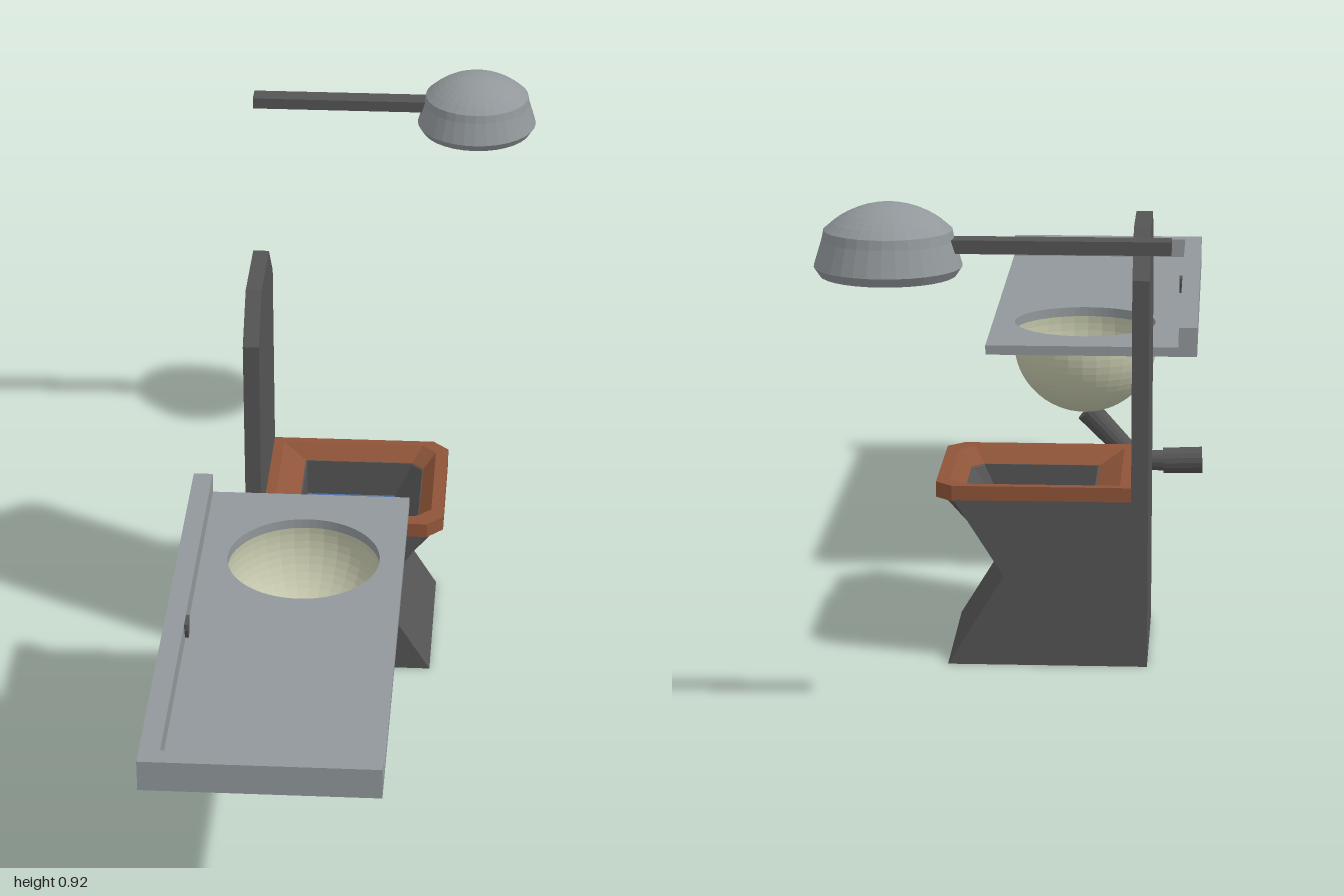
import * as THREE from 'three';

const mat = (name, color, extra = {}) => {
  const m = new THREE.MeshStandardMaterial({ color, flatShading: true, ...extra });
  m.name = name;
  return m;
};

// Six-cornered ring: rectangle whose two +x corners are cut by c
const ring = (y, x0, x1, z0, z1, c = 0) => [
  [x0, y, z1], [x1 - c, y, z1], [x1, y, z1 - c],
  [x1, y, z0 + c], [x1 - c, y, z0], [x0, y, z0],
];

// Skin through rings, optionally closing the first and last one
function loft(rings, capStart, capEnd) {
  const p = [];
  const n = rings[0].length;
  for (let r = 0; r < rings.length - 1; r++) {
    for (let i = 0; i < n; i++) {
      const j = (i + 1) % n;
      const [a, b, c, d] = [rings[r][i], rings[r][j], rings[r + 1][j], rings[r + 1][i]];
      p.push(...a, ...b, ...c, ...a, ...c, ...d);
    }
  }
  const first = rings[0], last = rings[rings.length - 1];
  for (let i = 1; i < n - 1; i++) {
    if (capStart) p.push(...first[0], ...first[i + 1], ...first[i]);
    if (capEnd) p.push(...last[0], ...last[i], ...last[i + 1]);
  }
  const g = new THREE.BufferGeometry();
  g.setAttribute('position', new THREE.Float32BufferAttribute(p, 3));
  g.computeVertexNormals();
  return g;
}

export function createModel() {
  const root = new THREE.Group();
  const steel = mat('lightGrey', 0x91979a);
  const dark = mat('darkGrey', 0x555555);
  const brown = mat('brownWood', 0x8f5539);
  const cream = mat('creamBasin', 0xc5c8ac, { side: THREE.DoubleSide });
  const blue = mat('waterBlue', 0x4d6ea6);

  const add = (parent, name, geo, material, x = 0, y = 0, z = 0) => {
    const m = new THREE.Mesh(geo, material);
    m.name = name;
    m.position.set(x, y, z);
    parent.add(m);
    return m;
  };
  // Box given by its extents
  const box = (parent, name, material, x0, x1, y0, y1, z0, z1) =>
    add(parent, name, new THREE.BoxGeometry(x1 - x0, y1 - y0, z1 - z0), material,
      (x0 + x1) / 2, (y0 + y1) / 2, (z0 + z1) / 2);
  // Round bar between two points
  const bar = (parent, name, material, a, b, ra, rb) => {
    const from = new THREE.Vector3(...a), to = new THREE.Vector3(...b);
    const dir = to.clone().sub(from);
    const m = add(parent, name, new THREE.CylinderGeometry(rb, ra, dir.length(), 16), material);
    m.position.copy(from).add(to).multiplyScalar(0.5);
    m.quaternion.setFromUnitVectors(new THREE.Vector3(0, 1, 0), dir.normalize());
    return m;
  };
  const group = (name) => {
    const g = new THREE.Group();
    g.name = name;
    root.add(g);
    return g;
  };

  // --- Washstand: slab with a round cut-out and two raised edges
  const sink = group('washstand');
  const bx = -0.08, bz = 0.29;
  const slab = new THREE.Shape([
    new THREE.Vector2(-0.3, -1), new THREE.Vector2(0.1, -1),
    new THREE.Vector2(0.1, -0.063), new THREE.Vector2(-0.3, -0.063),
  ]);
  const hole = new THREE.Path();
  hole.absarc(bx, -bz, 0.137, 0, Math.PI * 2, true);
  slab.holes.push(hole);
  const slabGeo = new THREE.ExtrudeGeometry(slab, { depth: 0.018, bevelEnabled: false, curveSegments: 32 });
  slabGeo.rotateX(-Math.PI / 2);
  add(sink, 'counterSlab', slabGeo, steel, 0, 0.46, 0);
  box(sink, 'counterBackEdge', steel, -0.3, -0.265, 0.478, 0.516, 0.063, 1);
  box(sink, 'counterEndEdge', steel, -0.265, 0.1, 0.478, 0.516, 0.965, 1);

  // Small tapered spout plate on the back edge
  const spout = new THREE.Shape([
    new THREE.Vector2(-0.007, 0), new THREE.Vector2(0.007, 0),
    new THREE.Vector2(0.016, 0.02), new THREE.Vector2(0.016, 0.032), new THREE.Vector2(-0.016, 0.032),
    new THREE.Vector2(-0.016, 0.02),
  ]);
  const spoutGeo = new THREE.ExtrudeGeometry(spout, { depth: 0.006, bevelEnabled: false });
  spoutGeo.rotateY(Math.PI / 2);
  add(sink, 'spoutPlate', spoutGeo, dark, -0.265, 0.482, 0.565);

  // Basin and drain
  add(sink, 'basin', new THREE.SphereGeometry(0.14, 32, 16, 0, Math.PI * 2, Math.PI * 0.455, Math.PI * 0.545),
    cream, bx, 0.441, bz);
  const elbow = [-0.18, 0.2, bz + 0.005];
  bar(sink, 'drainPipe', dark, [-0.085, 0.3, bz + 0.005], elbow, 0.025, 0.02);
  add(sink, 'drainElbow', new THREE.SphereGeometry(0.02, 16, 10), dark, ...elbow);
  bar(sink, 'drainOutlet', dark, elbow, [-0.24, 0.2, bz + 0.005], 0.02, 0.02);
  bar(sink, 'drainCollar', dark, [-0.234, 0.2, bz + 0.005], [-0.31, 0.202, bz + 0.005], 0.025, 0.026);

  // --- Toilet: pinched pedestal with a well, seat and tall back
  const toilet = group('toilet');
  const z0 = -0.415, z1 = -0.093;
  add(toilet, 'pedestal', loft([
    ring(0, -0.22, 0.135, z0, z1),
    ring(0.163, -0.22, 0.035, z0, z1),
    ring(0.265, -0.22, 0.1, z0, z1),
    ring(0.302, -0.22, 0.138, z0, z1, 0.014),
    ring(0.302, -0.122, 0.107, -0.37, -0.153, 0.02),
    ring(0.225, -0.122, 0.053, -0.37, -0.153),
  ], true, true), dark);
  const water = add(toilet, 'water', new THREE.PlaneGeometry(0.175, 0.217), blue, -0.0345, 0.227, -0.2615);
  water.rotation.x = -Math.PI / 2;

  const under = ring(0.3, -0.122, 0.107, -0.37, -0.153, 0.022);
  add(toilet, 'seat', loft([
    under,
    ring(0.3, -0.19, 0.157, z0, z1, 0.03),
    ring(0.328, -0.19, 0.157, z0, z1, 0.03),
    ring(0.328, -0.17, 0.133, -0.398, -0.123, 0.027),
    under,
  ]), brown);

  const back = new THREE.Shape([
    [-z1, 0.3], [-z0, 0.3], [-z0, 0.7], [0.337, 0.78], [0.171, 0.78], [-z1, 0.7],
  ].map(([a, b]) => new THREE.Vector2(a, b)));
  const backGeo = new THREE.ExtrudeGeometry(back, { depth: 0.03, bevelEnabled: false });
  backGeo.rotateY(Math.PI / 2);
  add(toilet, 'backPanel', backGeo, dark, -0.22, 0, 0);

  // --- Shower: stepped dome head on a flat arm
  const shower = group('shower');
  const dome = [];
  for (let i = 0; i <= 8; i++) {
    const t = (1 - i / 8) * 0.755; // arc with a 0.146 radius
    dome.push(new THREE.Vector2(Math.sin(t) * 0.146, 0.917 - 0.146 * (1 - Math.cos(t))));
  }
  const head = [[0.11, 0.8], [0.12, 0.815], [0.114, 0.835], [0.107, 0.858], [0.104, 0.874]]
    .map(([r, y]) => new THREE.Vector2(r, y));
  add(shower, 'showerHead', new THREE.LatheGeometry([...head, ...dome], 32), steel, 0.19, 0, -0.88);
  const spray = add(shower, 'sprayFace', new THREE.CircleGeometry(0.11, 32), blue, 0.19, 0.8, -0.88);
  spray.rotation.x = Math.PI / 2;
  box(shower, 'showerArm', dark, -0.265, 0.1, 0.839, 0.861, -0.905, -0.865);

  return root;
}
